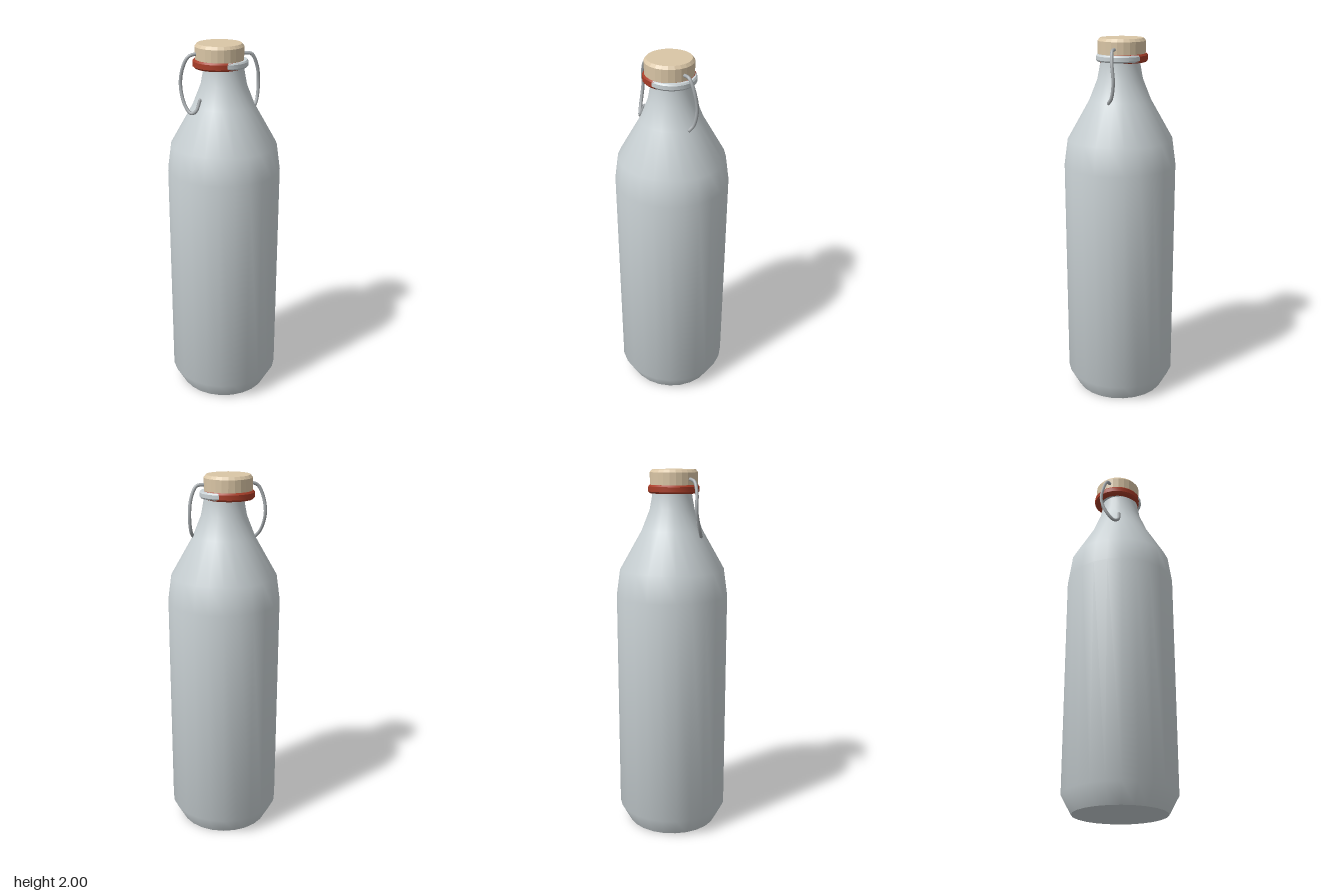
import * as THREE from 'three';
import { toCreasedNormals } from 'three/addons/utils/BufferGeometryUtils.js';

const glass = new THREE.MeshStandardMaterial({ name: 'pale grey glass', color: 0xcad2d5 });
const cork = new THREE.MeshStandardMaterial({ name: 'beige stopper', color: 0xdac6a6 });
const rubber = new THREE.MeshStandardMaterial({ name: 'red rubber', color: 0xa83d28 });
const steel = new THREE.MeshStandardMaterial({ name: 'steel wire', color: 0xa6abae });

// Turned part from [radius, height] pairs, listed bottom to top
function turned(name, profile, material, crease, x = 0, z = 0) {
  const points = profile.map(([r, y]) => new THREE.Vector2(r, y));
  const geometry = toCreasedNormals(new THREE.LatheGeometry(points, 24), crease);
  const mesh = new THREE.Mesh(geometry, material);
  mesh.name = name;
  mesh.position.set(x, 0, z);
  return mesh;
}

// Round wire bent through the given points, with capped ends
function wire(name, points) {
  const radius = 0.009;
  const group = new THREE.Group();
  group.name = name;
  const path = points.map((p) => new THREE.Vector3(...p));
  const curve = new THREE.CatmullRomCurve3(path);
  group.add(new THREE.Mesh(new THREE.TubeGeometry(curve, 40, radius, 8), steel));
  for (const end of [path[0], path[path.length - 1]]) {
    const tip = new THREE.Mesh(new THREE.SphereGeometry(radius, 8, 6), steel);
    tip.position.copy(end);
    group.add(tip);
  }
  group.children.forEach((m, i) => { m.name = i ? 'wireTip' : 'wireBend'; });
  return group;
}

export function createModel() {
  const model = new THREE.Group();
  model.name = 'swingTopBottle';

  // Body, shoulder and neck
  model.add(turned('bottleBody', [
    [0, 0], [0.25, 0], [0.305, 0.1], [0.305, 1.33], [0.285, 1.47],
    [0.165, 1.68], [0.121, 1.79], [0.108, 1.86], [0.106, 1.89],
  ], glass, 0.9));

  // Glass lip around the mouth
  model.add(turned('bottleLip', [
    [0.1, 1.882], [0.122, 1.882], [0.128, 1.89], [0.128, 1.91], [0.122, 1.918], [0, 1.918],
  ], glass, 0.5));

  // Seal and stopper sit slightly off the bottle's axis
  model.add(turned('rubberSeal', [
    [0.1, 1.877], [0.127, 1.877], [0.136, 1.886], [0.136, 1.912], [0.128, 1.921], [0, 1.921],
  ], rubber, 0.5, -0.025, -0.006));
  model.add(turned('stopper', [
    [0, 1.918], [0.127, 1.918], [0.128, 1.985], [0.116, 2], [0, 2],
  ], cork, 0.2, -0.022, -0.004));

  // Wire bail, one bent end on each side
  model.add(wire('rightWire', [
    [-0.12, 1.95, 0.01], [-0.155, 1.95, 0.011], [-0.187, 1.938, 0.013], [-0.216, 1.88, 0.006],
    [-0.227, 1.79, -0.002], [-0.211, 1.695, 0.03], [-0.183, 1.656, 0.06],
    [-0.158, 1.672, 0.073], [-0.138, 1.725, 0.067],
  ]));
  model.add(wire('leftWire', [
    [0.08, 1.945, 0.01], [0.11, 1.948, 0.011], [0.143, 1.943, 0.014], [0.174, 1.88, 0.009],
    [0.185, 1.79, 0], [0.176, 1.71, 0.012], [0.163, 1.682, 0.03],
  ]));

  return model;
}
